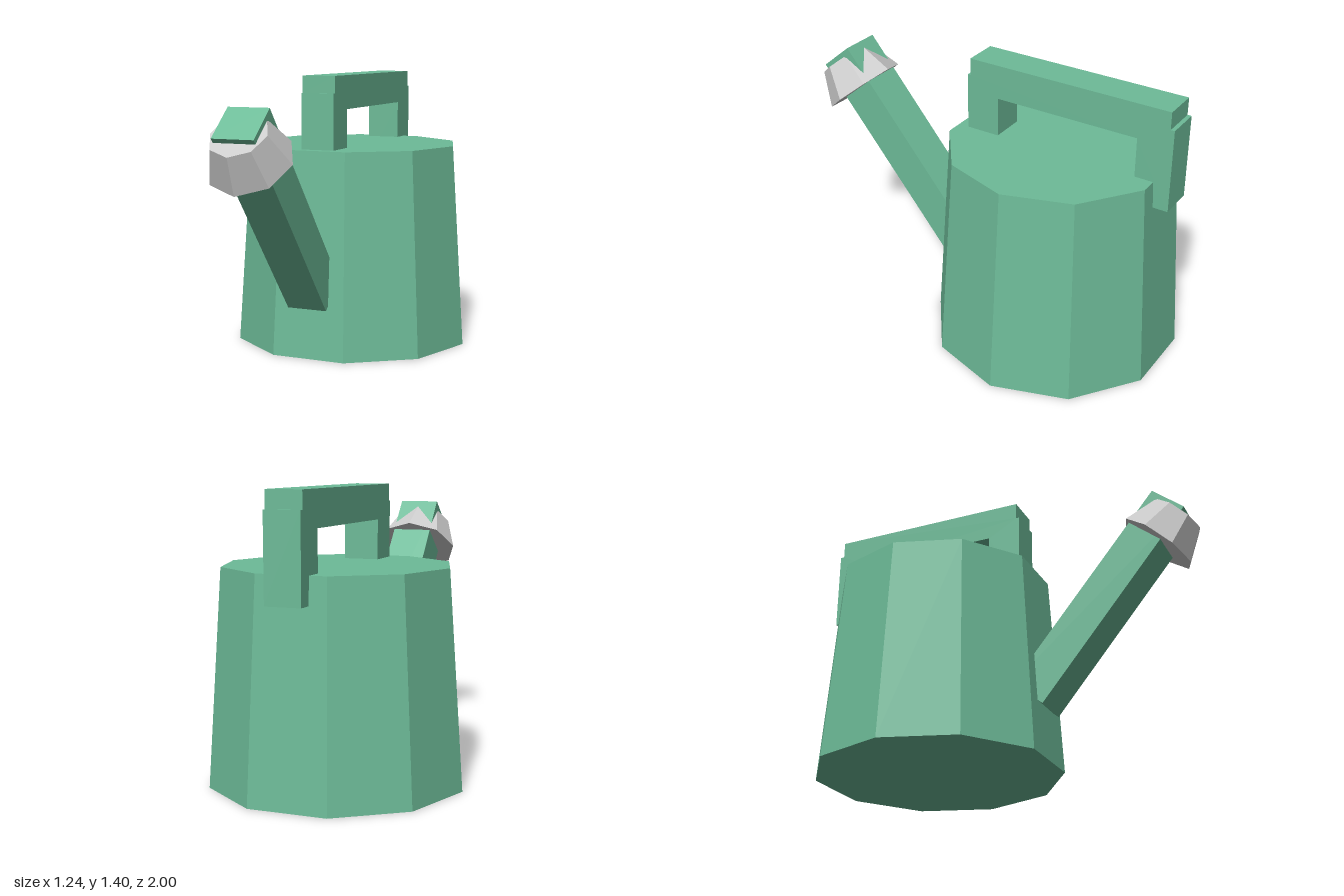
import * as THREE from 'three';

export function createModel() {
  const model = new THREE.Group();
  model.name = 'wateringCan';
  const green = new THREE.MeshStandardMaterial({ color: 0x6dbb98, flatShading: true });
  const grey = new THREE.MeshStandardMaterial({ color: 0xcccccc, flatShading: true });

  const add = (name, geometry, material, y, z, tilt = 0) => {
    const mesh = new THREE.Mesh(geometry, material);
    mesh.name = name;
    mesh.position.set(0, y, z);
    mesh.rotation.x = tilt;
    model.add(mesh);
    return mesh;
  };

  // Tapered ten-sided body with corners on the x axis
  add('body', new THREE.CylinderGeometry(0.55, 0.62, 1.035, 10, 1, false, Math.PI / 2), green, 0.5175, -0.395);

  // Handle: side profile (z, y) with small steps where the posts meet the bar
  const profile = new THREE.Shape([
    [0.075, 0.905], [0.075, 1.315], [0.06, 1.315], [0.06, 1.4],
    [-0.98, 1.4], [-0.98, 1.315], [-1, 1.315], [-1, 0.905],
    [-0.825, 0.905], [-0.825, 1.23], [-0.095, 1.23], [-0.095, 0.905],
  ].map(([z, y]) => new THREE.Vector2(z, y)));
  const width = 0.174;
  const handle = new THREE.ExtrudeGeometry(profile, { depth: width, bevelEnabled: false });
  handle.translate(0, 0, -width / 2).rotateY(-Math.PI / 2);
  add('handle', handle, green, 0, 0);

  // Square spout leaning forward, with a faceted rose around its tip
  const tilt = 0.695;
  add('spout', new THREE.BoxGeometry(0.206, 1.172, 0.2), green, 0.77, 0.5, tilt);
  add('rose', new THREE.CylinderGeometry(0.14, 0.205, 0.172, 8), grey, 1.106, 0.838, tilt);

  return model;
}
